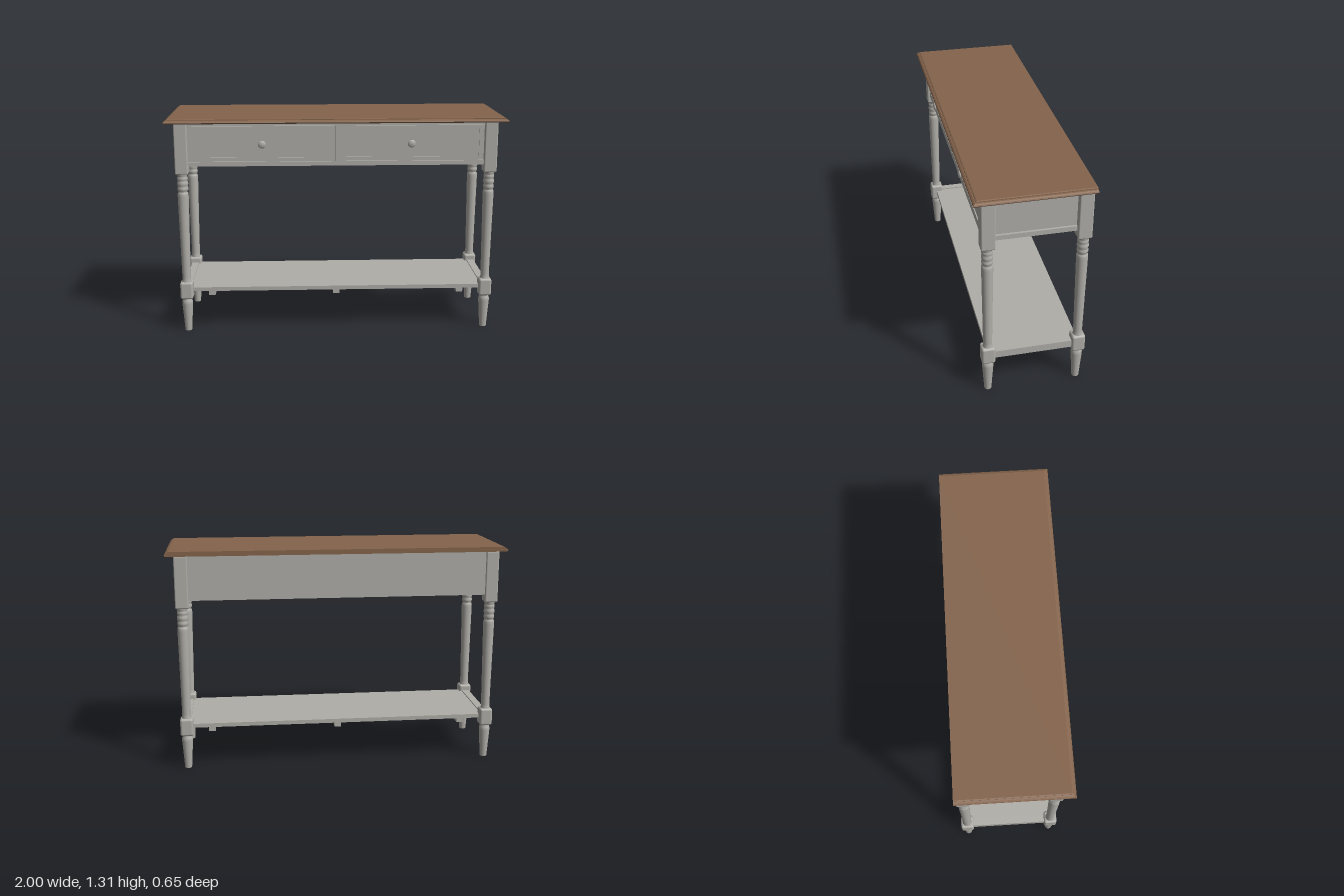
import * as THREE from 'three';
import { RoundedBoxGeometry } from 'three/addons/geometries/RoundedBoxGeometry.js';

export function createModel() {
  const model = new THREE.Group();
  model.name = 'consoleTable';
  const wood = new THREE.MeshStandardMaterial({ name: 'brown wood', color: 0x84644c });
  const paint = new THREE.MeshStandardMaterial({ name: 'grey paint', color: 0xb0aea8 });

  function add(name, geometry, material = paint, parent = model) {
    const mesh = new THREE.Mesh(geometry, material);
    mesh.name = name;
    parent.add(mesh);
    return mesh;
  }

  // Box given by its limits on each axis
  function box(name, x0, x1, y0, y1, z0, z1, parent = model) {
    const mesh = add(name, new THREE.BoxGeometry(x1 - x0, y1 - y0, z1 - z0), paint, parent);
    mesh.position.set((x0 + x1) / 2, (y0 + y1) / 2, (z0 + z1) / 2);
    return mesh;
  }

  // Tabletop: stacked outlines, moulded on the front and ends, straight at the back
  function tabletop() {
    const profile = [[0.012, 1.282], [0.003, 1.285], [0, 1.29], [0.003, 1.296],
      [0.01, 1.301], [0.018, 1.303], [0.018, 1.307], [0.024, 1.31]];
    const rings = profile.map(([inset, y]) => {
      const x = 1 - inset, f = 0.325 - inset, b = -0.325;
      return [[-x, y, f], [x, y, f], [x, y, b], [-x, y, b]];
    });
    const pos = [];
    const quad = (a, b, c, d) => pos.push(...a, ...b, ...c, ...a, ...c, ...d);
    for (let i = 0; i < rings.length - 1; i++) {
      for (let j = 0; j < 4; j++) {
        const k = (j + 1) % 4;
        quad(rings[i][j], rings[i][k], rings[i + 1][k], rings[i + 1][j]);
      }
    }
    quad(...rings[rings.length - 1]);
    quad(...[...rings[0]].reverse());
    const geometry = new THREE.BufferGeometry();
    geometry.setAttribute('position', new THREE.Float32BufferAttribute(pos, 3));
    geometry.computeVertexNormals();
    return geometry;
  }
  add('tabletop', tabletop(), wood);

  // Turned legs with square blocks
  const vectors = (points) => points.map(([r, y]) => new THREE.Vector2(r, y));
  const footProfile = vectors([[0, 0], [0.02, 0], [0.021, 0.003], [0.026, 0.08], [0.0325, 0.17],
    [0.032, 0.185], [0.029, 0.195], [0.026, 0.2], [0.026, 0.215]]);
  const shaftProfile = vectors([[0.028, 0.305], [0.029, 0.315], [0.026, 0.322], [0.0255, 0.34],
    [0.029, 0.6], [0.0325, 0.84], [0.0325, 0.857], [0.03, 0.865], [0.027, 0.868],
    [0.027, 0.874], [0.031, 0.88], [0.032, 0.888], [0.031, 0.897], [0.028, 0.903],
    [0.031, 0.91], [0.033, 0.92], [0.031, 0.931], [0.028, 0.937],
    [0.031, 0.944], [0.032, 0.951], [0.03, 0.96], [0.028, 0.965], [0.033, 0.974], [0.033, 0.99]]);
  const footGeometry = new THREE.LatheGeometry(footProfile, 28);
  const shaftGeometry = new THREE.LatheGeometry(shaftProfile, 28);
  const lowerBlock = new RoundedBoxGeometry(0.077, 0.108, 0.078, 3, 0.014);
  const upperBlock = new RoundedBoxGeometry(0.077, 0.306, 0.079, 3, 0.008);
  for (const side of [-1, 1]) {
    for (const [label, z] of [['front', 0.238], ['back', -0.284]]) {
      const leg = new THREE.Group();
      leg.name = label + (side > 0 ? 'LeftLeg' : 'RightLeg');
      leg.position.set(side * 0.91, 0, z);
      add('foot', footGeometry, paint, leg);
      add('lowerBlock', lowerBlock, paint, leg).position.y = 0.26;
      add('shaft', shaftGeometry, paint, leg);
      add('upperBlock', upperBlock, paint, leg).position.y = 1.132;
      model.add(leg);
    }
  }

  // Apron case with framed ends
  box('apronCase', -0.912, 0.912, 1.025, 1.283, -0.314, 0.25);
  for (const s of [-1, 1]) {
    const [x0, x1] = s > 0 ? [0.91, 0.926] : [-0.926, -0.91];
    box('endTopRail', x0, x1, 1.264, 1.283, -0.26, 0.21);
    box('endBottomRail', x0, x1, 1.025, 1.053, -0.26, 0.21);
  }

  // Front rails and centre divider
  box('frontTopRail', -0.875, 0.875, 1.264, 1.283, 0.248, 0.262);
  box('frontBottomRail', -0.875, 0.875, 1.025, 1.051, 0.248, 0.262);
  box('frontDivider', -0.009, 0.009, 1.05, 1.265, 0.248, 0.262);

  // Drawers: a raised frame around a sunken panel, with a turned knob
  function frame(w, h, border, depth) {
    const rect = (path, a, b) => path.moveTo(-a, -b).lineTo(a, -b).lineTo(a, b).lineTo(-a, b).closePath();
    const shape = new THREE.Shape();
    rect(shape, w / 2, h / 2);
    const hole = new THREE.Path();
    rect(hole, w / 2 - border, h / 2 - border);
    shape.holes.push(hole);
    return new THREE.ExtrudeGeometry(shape, { depth, bevelEnabled: false });
  }
  const frameGeometry = frame(0.85, 0.207, 0.022, 0.014);
  const knobGeometry = new THREE.LatheGeometry(vectors([[0.014, 0], [0.011, 0.004], [0.008, 0.01],
    [0.008, 0.026], [0.013, 0.03], [0.021, 0.033], [0.023, 0.036], [0.021, 0.041],
    [0.012, 0.045], [0, 0.046]]), 24);
  for (const s of [-1, 1]) {
    const drawer = new THREE.Group();
    drawer.name = s > 0 ? 'leftDrawer' : 'rightDrawer';
    drawer.position.set(s * 0.437, 1.158, 0.25);
    add('drawerFrame', frameGeometry, paint, drawer);
    box('drawerPanel', -0.406, 0.406, -0.083, 0.083, -0.002, 0.008, drawer);
    const knob = add('knob', knobGeometry, paint, drawer);
    knob.rotation.x = Math.PI / 2;
    knob.position.z = 0.007;
    model.add(drawer);
  }

  // Lower shelf, end rails and the cleats beneath
  box('shelf', -0.89, 0.89, 0.248, 0.272, -0.285, 0.24);
  for (const s of [-1, 1]) {
    const [x0, x1] = s > 0 ? [0.887, 0.932] : [-0.932, -0.887];
    box('shelfEndRail', x0, x1, 0.234, 0.279, -0.26, 0.21);
  }
  for (const x of [-0.762, 0, 0.762]) {
    box('shelfCleat', x - 0.02, x + 0.02, 0.211, 0.25, -0.25, 0.205);
  }

  return model;
}
